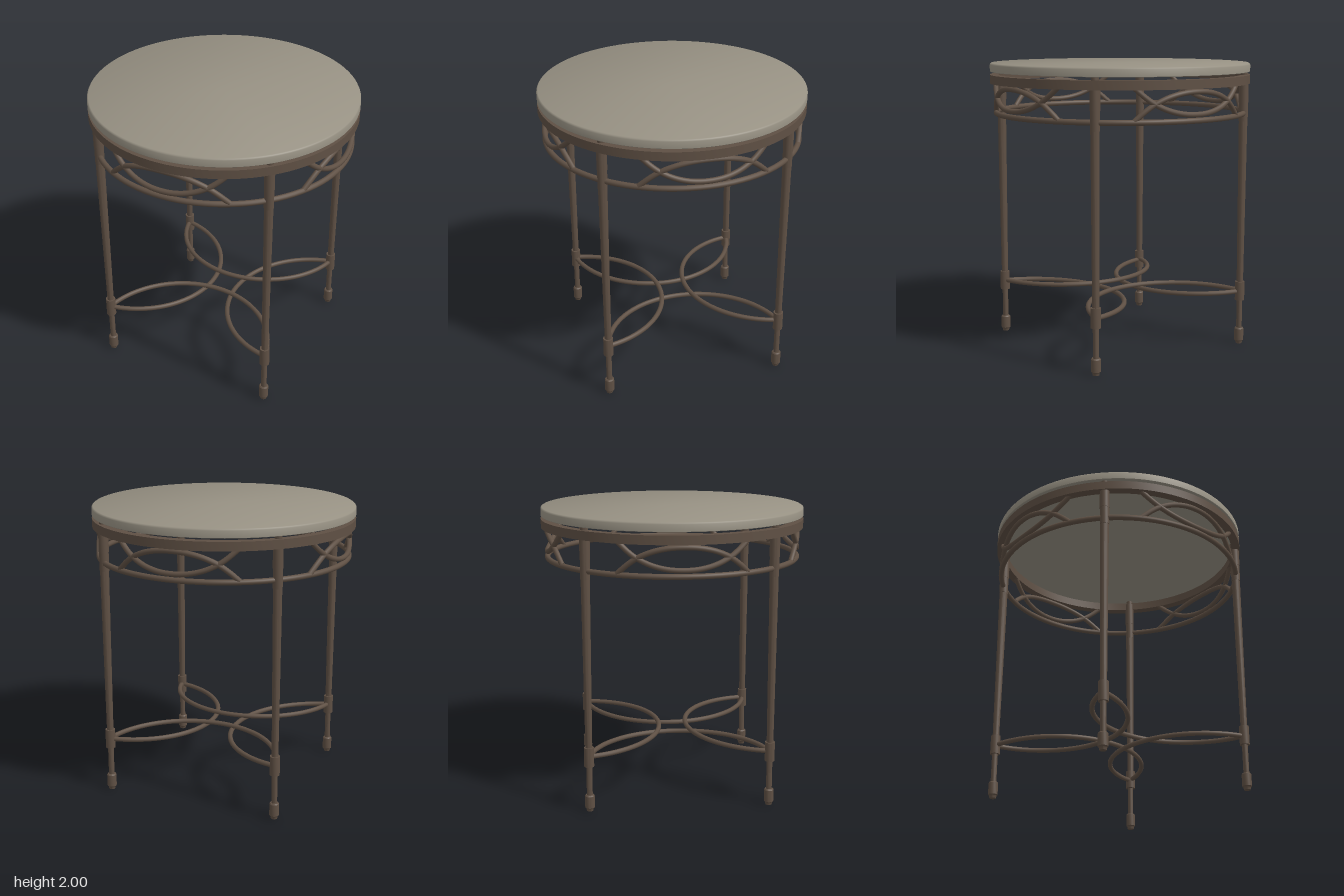
import * as THREE from 'three';
import { toCreasedNormals } from 'three/addons/utils/BufferGeometryUtils.js';

const stone = new THREE.MeshStandardMaterial({ color: 0x979183 });
stone.name = 'warm grey stone';
const metal = new THREE.MeshStandardMaterial({ color: 0x5f5044 });
metal.name = 'bronze metal';

const RING = 0.87;   // radius on which legs and apron sit
const LEG = 0.615;   // leg offset in x and z

function add(parent, name, geometry, material) {
  const mesh = new THREE.Mesh(geometry, material);
  mesh.name = name;
  parent.add(mesh);
  return mesh;
}

// Turned part with crisp edges, profile listed from the bottom up
function turned(profile, segments) {
  const points = profile.map(([r, y]) => new THREE.Vector2(r, y));
  return toCreasedNormals(new THREE.LatheGeometry(points, segments), 0.6);
}

function rod(points, radius, segments) {
  return new THREE.TubeGeometry(new THREE.CatmullRomCurve3(points), segments, radius, 10);
}

export function createModel() {
  const table = new THREE.Group();
  table.name = 'roundTable';

  // Round slab with a slightly eased edge
  add(table, 'tableTop', turned([
    [0, 1.94], [0.907, 1.94], [0.91, 1.943], [0.91, 1.988], [0.906, 1.996], [0.9, 2], [0, 2],
  ], 96), stone);

  // Flat upper hoop and round lower hoop of the apron
  add(table, 'upperHoop', turned([
    [0.85, 1.86], [0.91, 1.86], [0.91, 1.92], [0.85, 1.92], [0.85, 1.86],
  ], 96), metal);
  const hoop = add(table, 'lowerHoop', new THREE.TorusGeometry(RING, 0.019, 12, 96), metal);
  hoop.rotation.x = Math.PI / 2;
  hoop.position.y = 1.655;

  // Legs: foot, lower shaft, collar, tapered shaft, upper sleeve, spacer
  const legGeometry = turned([
    [0, 0], [0.022, 0], [0.026, 0.018], [0.033, 0.025], [0.033, 0.108], [0.027, 0.116], [0.02, 0.116],
    [0.02, 0.32], [0.034, 0.32], [0.034, 0.455], [0.023, 0.455],
    [0.03, 1.6], [0.032, 1.6], [0.032, 1.73], [0.034, 1.73], [0.034, 1.91],
    [0.025, 1.91], [0.025, 1.945],
  ], 18);
  for (const x of [-LEG, LEG]) {
    for (const z of [-LEG, LEG]) {
      add(table, 'leg', legGeometry, metal).position.set(x, 0, z);
    }
  }

  // Apron scrolls: two opposed bows that cross, wrapped round the hoop
  const half = [[0, 0.073], [0.12, 0.066], [0.24, 0.041], [0.345, 0], [0.42, -0.045], [0.5, -0.105]];
  const profile = [...half.slice(1).reverse().map(([a, h]) => [-a, h]), ...half];
  const bows = [1, -1].map((sign) => rod(profile.map(([a, h]) => new THREE.Vector3(
    RING * Math.sin(a), 1.767 + sign * h, RING * Math.cos(a))), 0.018, 48));

  // Stretcher arcs from leg to leg, bowing in towards the centre
  const near = 0.098;
  const radius = (LEG ** 2 + (LEG - near) ** 2) / (2 * (LEG - near));
  const centre = near + radius;
  const reach = Math.acos((centre - LEG) / radius);
  const arcs = [0.014, -0.014].map((rise) => {
    const points = [];
    for (let i = 0; i <= 24; i++) {
      const a = reach * (i / 12 - 1);
      points.push(new THREE.Vector3(
        radius * Math.sin(a), 0.386 + rise * Math.cos(a), centre - radius * Math.cos(a)));
    }
    return rod(points, 0.017, 64);
  });

  for (let i = 0; i < 4; i++) {
    const side = new THREE.Group();
    side.name = 'sidePanel';
    side.rotation.y = i * Math.PI / 2;
    add(side, 'apronBowUp', bows[0], metal);
    add(side, 'apronBowDown', bows[1], metal);
    add(side, 'stretcherArc', arcs[i % 2], metal);
    table.add(side);
  }
  return table;
}
